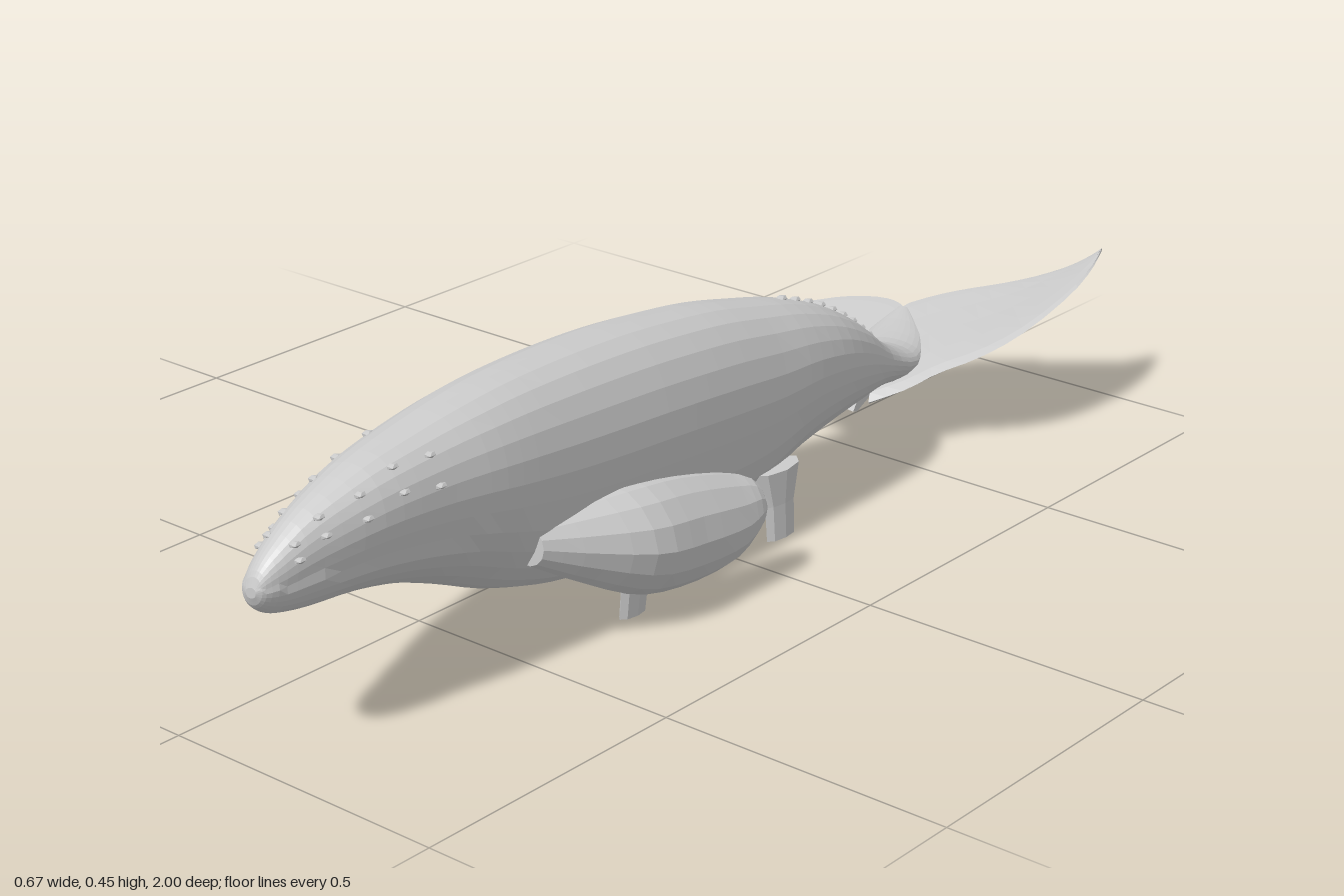
import * as THREE from 'three';

const material = new THREE.MeshStandardMaterial({ color: 0xcccccc, flatShading: true, side: THREE.DoubleSide });
const V = (x, y, z) => new THREE.Vector3(x, y, z);
const curve = (pts) => new THREE.CatmullRomCurve3(pts, false, 'catmullrom', 0.5);
const { smoothstep } = THREE.MathUtils;

// Skin a list of closed rings (equal point counts) and cap both ends with a fan
function loft(name, rings) {
  const n = rings[0].length, pos = [], idx = [];
  rings.forEach((r) => r.forEach((p) => pos.push(p.x, p.y, p.z)));
  for (let i = 0; i < rings.length - 1; i++) {
    for (let j = 0; j < n; j++) {
      const a = i * n + j, b = i * n + ((j + 1) % n);
      idx.push(a, a + n, b, b, a + n, b + n);
    }
  }
  const last = (rings.length - 1) * n;
  for (let j = 1; j < n - 1; j++) idx.push(0, j, j + 1, last, last + j + 1, last + j);
  const g = new THREE.BufferGeometry();
  g.setAttribute('position', new THREE.Float32BufferAttribute(pos, 3));
  g.setIndex(idx);
  g.computeVertexNormals();
  const mesh = new THREE.Mesh(g, material);
  mesh.name = name;
  return mesh;
}

const ring = (n, fn) => Array.from({ length: n }, (_, j) => fn((j / n) * Math.PI * 2));

// Body stations from snout to fluke notch: z, top y, bottom y, right x, left x
const STATIONS = [
  [1.0, 0.287, 0.27, 0.158, 0.178], [0.99, 0.31, 0.25, 0.14, 0.19], [0.96, 0.338, 0.23, 0.12, 0.203],
  [0.9, 0.375, 0.215, 0.095, 0.218], [0.8, 0.41, 0.202, 0.055, 0.24], [0.7, 0.427, 0.175, 0.022, 0.25],
  [0.6, 0.44, 0.135, 0, 0.255], [0.5, 0.447, 0.09, -0.02, 0.256], [0.4, 0.448, 0.058, -0.035, 0.256],
  [0.3, 0.446, 0.038, -0.045, 0.256], [0.2, 0.441, 0.028, -0.05, 0.256], [0.1, 0.432, 0.022, -0.047, 0.255],
  [0, 0.42, 0.02, -0.037, 0.253], [-0.1, 0.4, 0.035, -0.02, 0.251], [-0.2, 0.376, 0.075, 0, 0.248],
  [-0.3, 0.338, 0.1, 0.025, 0.238], [-0.4, 0.28, 0.113, 0.045, 0.213], [-0.5, 0.212, 0.114, 0.05, 0.175],
  [-0.6, 0.167, 0.102, 0.01, 0.155], [-0.7, 0.158, 0.12, -0.022, 0.095], [-0.785, 0.158, 0.148, -0.025, 0.002],
];
const heights = curve(STATIONS.map((s) => V(s[0], s[1], s[2])));
const widths = curve(STATIONS.map((s) => V(s[0], s[3], s[4])));

// Point on the body at length t and angle a; the section leans to one side and the belly is full
function bodyPoint(t, a) {
  const h = heights.getPoint(t), w = widths.getPoint(t), z = h.x;
  const half = (w.z - w.y) / 2, ry = (h.y - h.z) / 2;
  const c = Math.cos(a), s = Math.sin(a);
  const belly = smoothstep(z, -0.35, 0) * (1 - smoothstep(z, 0.35, 0.65));
  const e = s < 0 ? 1 - 0.2 * belly : 1;
  const sy = Math.sign(s) * Math.abs(s) ** e;
  const y = (h.y + h.z) / 2 + ry * sy;
  let x = half * 0.97 * Math.sign(c) * Math.abs(c) ** e;
  // Lower jaw stands out a little below the mouth line
  const mouth = 0.258 + 0.07 * Math.max(0, z - 0.6);
  x *= 1 + smoothstep(z, 0.54, 0.7) * (y < mouth ? 0.03 : -0.05);
  return V((w.y + w.z) / 2 + x + half * (s < 0 ? 0.2 : 0.28) * sy, y, z);
}

// Broad curved paddle beside the body; stations: z, centre x, centre y, half height, half thickness
function flipper(name, stations, bow) {
  const centre = curve(stations.map((s) => V(s[1], s[2], s[0])));
  const size = curve(stations.map((s) => V(s[3], s[4], 0)));
  const rings = [];
  for (let i = 0; i <= 16; i++) {
    const c = centre.getPoint(i / 16), s = size.getPoint(i / 16);
    rings.push(ring(14, (a) => {
      const dy = s.x * Math.sin(a);
      return V(c.x + s.y * Math.cos(a) - bow * dy * dy, c.y + dy, c.z);
    }));
  }
  return loft(name, rings);
}

// Fluke surface height
const flukeY = (x, z) => 0.155 + 0.072 * (x + 0.015) - 0.265 * (z + 0.79) + (x > 0 ? 0.6 * x * x : 0);

// Tail lobe swept between a leading and a trailing edge given as x, z pairs
function fluke(name, leading, trailing, reverse) {
  const lead = curve(leading.map(([x, z]) => V(x, 0, z)));
  const trail = curve(trailing.map(([x, z]) => V(x, 0, z)));
  const rings = [];
  for (let i = 0; i <= 16; i++) {
    const t = i / 16, p = lead.getPoint(t), q = trail.getPoint(t);
    const thick = 0.004 + 0.018 * (1 - t);
    rings.push(ring(12, (a) => {
      const c = p.clone().lerp(q, (1 - Math.cos(a)) / 2);
      c.y = flukeY(c.x, c.z) + thick * Math.sin(a) * (0.65 + 0.35 * Math.cos(a));
      return c;
    }));
  }
  return loft(name, reverse ? rings.reverse() : rings);
}

// Flared stub reaching the ground; its top can shift sideways into the body
function stub(name, x, z, w, d, h, flare = 1.5, shift = 0) {
  const rings = [[0, 1, 0], [h * 0.5, 1.05, 0.25], [h, flare, 1]].map(([y, k, m]) =>
    ring(8, (a) => V(x + shift * m + w * k * Math.cos(a), y, z - d * Math.min(k, 1.6) * Math.sin(a))));
  return loft(name, rings);
}

export function createModel() {
  const model = new THREE.Group();
  model.name = 'whale';

  const rings = [];
  for (let i = 0; i <= 60; i++) rings.push(ring(28, (a) => bodyPoint(i / 60, a)));
  model.add(loft('body', rings));

  model.add(flipper('leftFlipper', [
    [0.48, 0.215, 0.185, 0.035, 0.03], [0.4, 0.243, 0.165, 0.062, 0.045], [0.3, 0.29, 0.143, 0.09, 0.042],
    [0.2, 0.306, 0.128, 0.095, 0.028], [0.1, 0.31, 0.12, 0.08, 0.024], [0.055, 0.313, 0.13, 0.05, 0.018],
    [0.04, 0.316, 0.13, 0.015, 0.008],
  ], 4));
  model.add(flipper('rightFlipper', [
    [0.49, 0.01, 0.215, 0.045, 0.03], [0.4, -0.05, 0.205, 0.075, 0.055], [0.3, -0.09, 0.198, 0.077, 0.046],
    [0.2, -0.126, 0.195, 0.076, 0.022], [0.12, -0.141, 0.19, 0.062, 0.014], [0.08, -0.145, 0.19, 0.025, 0.008],
  ], -3));

  model.add(fluke('rightFluke',
    [[0.12, -0.46], [0.03, -0.488], [-0.1, -0.498], [-0.2, -0.53], [-0.28, -0.605], [-0.335, -0.67]],
    [[0.04, -0.74], [-0.015, -0.79], [-0.07, -0.805], [-0.15, -0.785], [-0.25, -0.72], [-0.335, -0.675]], true));
  model.add(fluke('leftFluke',
    [[0.13, -0.49], [0.18, -0.535], [0.21, -0.585], [0.27, -0.63], [0.31, -0.7], [0.32, -0.82], [0.3, -0.92], [0.27, -0.995]],
    [[0, -0.71], [-0.02, -0.785], [0.02, -0.84], [0.07, -0.875], [0.13, -0.9], [0.19, -0.925], [0.24, -0.955], [0.268, -1]], false));

  // Ground stubs under the belly and flippers
  model.add(stub('frontLeftStub', 0.235, 0.265, 0.012, 0.03, 0.1, 2, 0.02));
  model.add(stub('frontRightStub', -0.068, 0.265, 0.008, 0.03, 0.16, 1.8, -0.01));
  model.add(stub('rearLeftStub', 0.228, -0.12, 0.012, 0.036, 0.12, 2.2, -0.015));
  model.add(stub('rearRightStub', -0.008, -0.12, 0.011, 0.036, 0.12, 2, 0.015));
  model.add(stub('bellyPad', 0.105, -0.115, 0.045, 0.036, 0.085, 1.8, 0.03));

  // Low knobs on the head and along the tail ridge
  const knob = new THREE.IcosahedronGeometry(1, 0);
  const addKnob = (name, t, a, r) => {
    const m = new THREE.Mesh(knob, material);
    m.name = name;
    m.position.copy(bodyPoint(t, a));
    m.scale.set(r, r * 0.6, r * 1.4);
    model.add(m);
  };
  for (let i = 0; i < 5; i++) {
    for (const a of [0.5, 0.95, 2.2, 2.65]) addKnob('headKnob', 0.12 + i * 0.033, a + 0.12 * (i % 2), 0.008);
  }
  for (let i = 0; i < 9; i++) addKnob('ridgeKnob', 0.7 + i * 0.017, Math.PI / 2, 0.009);

  return model;
}
